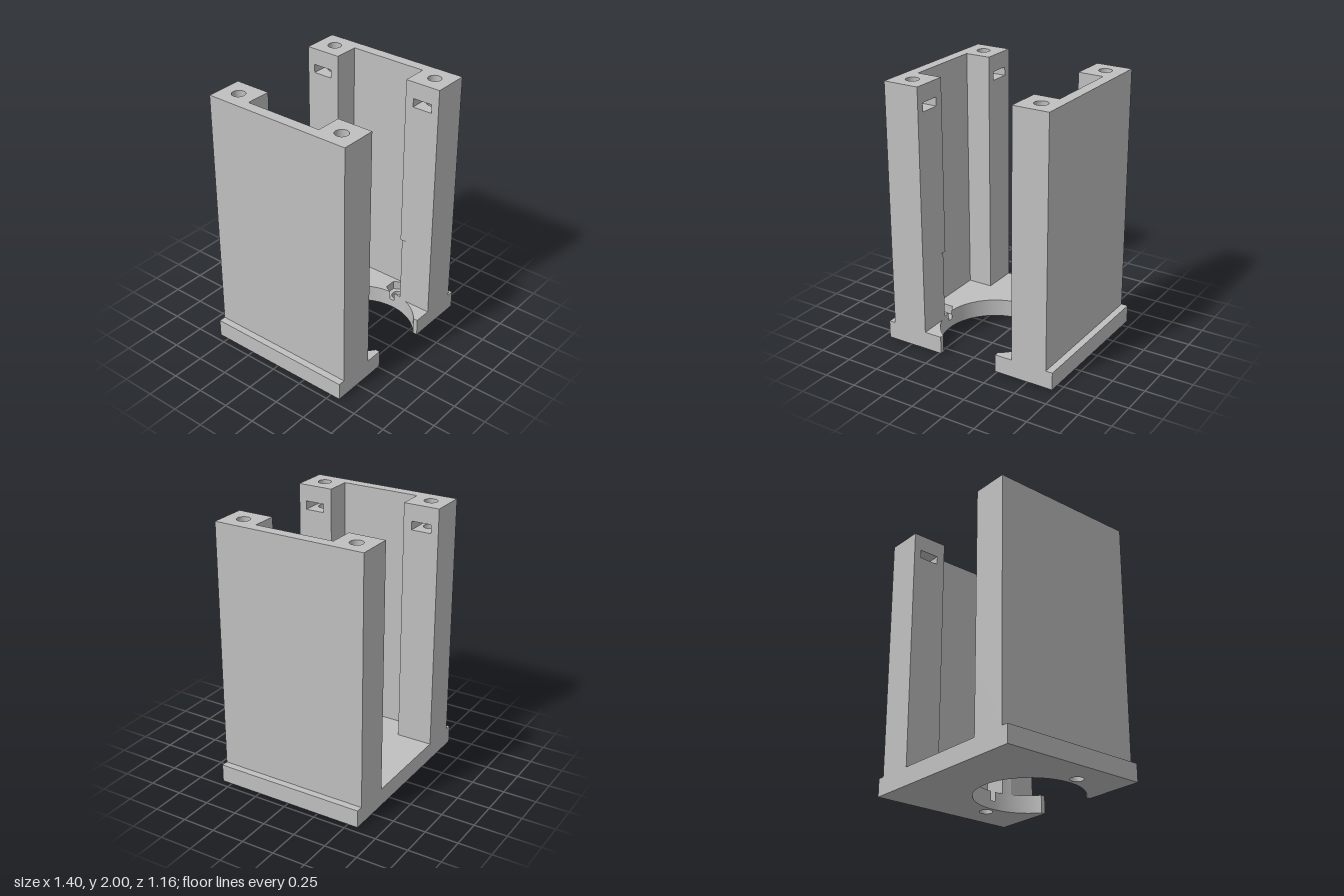
import * as THREE from 'three';
import { mergeGeometries, toCreasedNormals } from 'three/addons/utils/BufferGeometryUtils.js';

// Plan dimensions (x, z)
const HALF_W = 0.70, HALF_D = 0.578;
const BORE_Z = 0.22, BORE_R = 0.40, MOUTH = 0.235;
const COL_OUT = 0.648, COL_IN = 0.372, WALL_IN = 0.565, BLOCK_Z = 0.302;
const SLOT_Z0 = 0.367, SLOT_Z1 = 0.52, SLOT_END = 0.59;
const SCREW_X = 0.51, SCREW_Z = 0.443, HOLE_R = 0.049, BOLT_X = 0.48;
// Heights
const POCKET_Y = 0.065, BASE_Y = 0.135, RELIEF_Y = 0.68;
const HOLE_Y = 1.6, SLOT_Y0 = 1.81, SLOT_Y1 = 1.875, TOP_Y = 2;

// Arc points in plan, angle measured from +x towards +z
function arc(cx, cz, r, a0, a1, n) {
  return Array.from({ length: n + 1 }, (_, i) => {
    const a = a0 + (a1 - a0) * i / n;
    return [cx + r * Math.cos(a), cz + r * Math.sin(a)];
  });
}
const circle = (cx, cz) => arc(cx, cz, HOLE_R, 0, Math.PI * 2, 32).slice(0, -1);
const mirror = (pts, s) => pts.map(([x, z]) => [s * x, z]);

function makeShape(pts, holes, zSign) {
  const conv = (list) => list.map(([x, z]) => new THREE.Vector2(x, zSign * z));
  const shape = new THREE.Shape(conv(pts));
  shape.holes = holes.map((h) => new THREE.Path(conv(h)));
  return shape;
}

// Upright walls along a plan outline, without end caps
function walls(pts, holes, y0, y1) {
  const ext = new THREE.ExtrudeGeometry(makeShape(pts, holes, -1), { depth: y1 - y0, bevelEnabled: false, steps: 1 });
  const g = new THREE.BufferGeometry();
  const side = ext.groups[1];
  g.setAttribute('position', new THREE.BufferAttribute(
    ext.attributes.position.array.slice(side.start * 3, (side.start + side.count) * 3), 3));
  return g.rotateX(-Math.PI / 2).translate(0, y0, 0);
}

// Flat horizontal face looking up or down
function cap(pts, holes, y, up = true) {
  const flat = new THREE.ShapeGeometry(makeShape(pts, holes, up ? -1 : 1)).toNonIndexed();
  const g = new THREE.BufferGeometry();
  g.setAttribute('position', flat.attributes.position);
  return g.rotateX(up ? -Math.PI / 2 : Math.PI / 2).translate(0, y, 0);
}

function finish(parts, material, name) {
  const g = mergeGeometries(parts);
  g.computeVertexNormals();
  const mesh = new THREE.Mesh(toCreasedNormals(g, 0.3), material);
  mesh.name = name;
  return mesh;
}

// Base plate with open bore, bolt holes and hexagonal nut pockets
function buildBase(material) {
  const gap = Math.asin(0.02 / BORE_R);
  const hex = [[0.434, 0.14], [0.526, 0.14], [WALL_IN, 0.208], [WALL_IN, 0.232], [0.526, 0.30], [0.434, 0.30]];
  const back = arc(0, BORE_Z, BORE_R, -Math.PI / 2, -gap, 32);
  const front = arc(0, BORE_Z, BORE_R, gap, Math.acos(MOUTH / BORE_R), 18);
  const outline = (notch) => {
    const right = [...back, ...notch, ...front, [MOUTH, HALF_D], [HALF_W, HALF_D], [HALF_W, -HALF_D]];
    return [...right, ...mirror(right.slice(1), -1).reverse()];
  };
  const bolts = [circle(BOLT_X, BORE_Z), circle(-BOLT_X, BORE_Z)];
  const pocket = [back[back.length - 1], ...hex, front[0]];
  const parts = [
    cap(outline([]), bolts, 0, false),
    walls(outline([]), bolts, 0, POCKET_Y),
    walls(outline(hex), [], POCKET_Y, BASE_Y),
    cap(outline(hex), [], BASE_Y),
  ];
  for (const s of [1, -1]) {
    parts.push(cap(mirror(pocket, s), [mirror(circle(BOLT_X, BORE_Z), s)], POCKET_Y));
  }
  return finish(parts, material, 'basePlate');
}

// C-shaped column with screw holes, nut slots and a bore relief at the foot
function buildColumn(s, material, name) {
  const relief = arc(0, BORE_Z, BORE_R, Math.asin((BLOCK_Z - BORE_Z) / BORE_R), Math.acos(COL_IN / BORE_R), 6);
  relief[relief.length - 1] = [COL_IN, SLOT_Z0];
  const corner = [[COL_IN, BLOCK_Z], [COL_IN, SLOT_Z0]];
  const outline = (inner, slotted) => {
    const slot = (za, zb) => (slotted ? [[SLOT_END, za], [SLOT_END, zb]] : []);
    return mirror([
      [COL_OUT, -HALF_D], [COL_IN, -HALF_D],
      [COL_IN, -SLOT_Z1], ...slot(-SLOT_Z1, -SLOT_Z0), [COL_IN, -SLOT_Z0],
      [COL_IN, -BLOCK_Z], [WALL_IN, -BLOCK_Z], [WALL_IN, BLOCK_Z],
      ...inner, ...slot(SLOT_Z0, SLOT_Z1), [COL_IN, SLOT_Z1],
      [COL_IN, HALF_D], [COL_OUT, HALF_D],
    ], s);
  };
  const plain = outline(corner, false);
  const holes = [SCREW_Z, -SCREW_Z].map((z) => mirror(circle(SCREW_X, z), s));
  const parts = [
    walls(outline(relief, false), [], BASE_Y, RELIEF_Y),
    cap(mirror([[COL_IN, BLOCK_Z], ...relief], s), [], RELIEF_Y, false),
    walls(plain, [], RELIEF_Y, HOLE_Y),
    walls(plain, holes, HOLE_Y, SLOT_Y0),
    walls(outline(corner, true), [], SLOT_Y0, SLOT_Y1),
    walls(plain, holes, SLOT_Y1, TOP_Y),
    cap(plain, holes, TOP_Y),
  ];
  // Hole floors, slot floors and slot ceilings
  [1, -1].forEach((e, i) => {
    const slot = mirror([[COL_IN, e * SLOT_Z0], [SLOT_END, e * SLOT_Z0], [SLOT_END, e * SLOT_Z1], [COL_IN, e * SLOT_Z1]], s);
    parts.push(cap(holes[i], [], HOLE_Y), cap(slot, [holes[i]], SLOT_Y0), cap(slot, [holes[i]], SLOT_Y1, false));
  });
  return finish(parts, material, name);
}

export function createModel() {
  const grey = new THREE.MeshStandardMaterial({ color: 0xc0c0c0 });
  grey.name = 'lightGrey';
  const model = new THREE.Group();
  model.name = 'mountingBracket';
  model.add(buildBase(grey), buildColumn(1, grey, 'leftColumn'), buildColumn(-1, grey, 'rightColumn'));
  return model;
}
